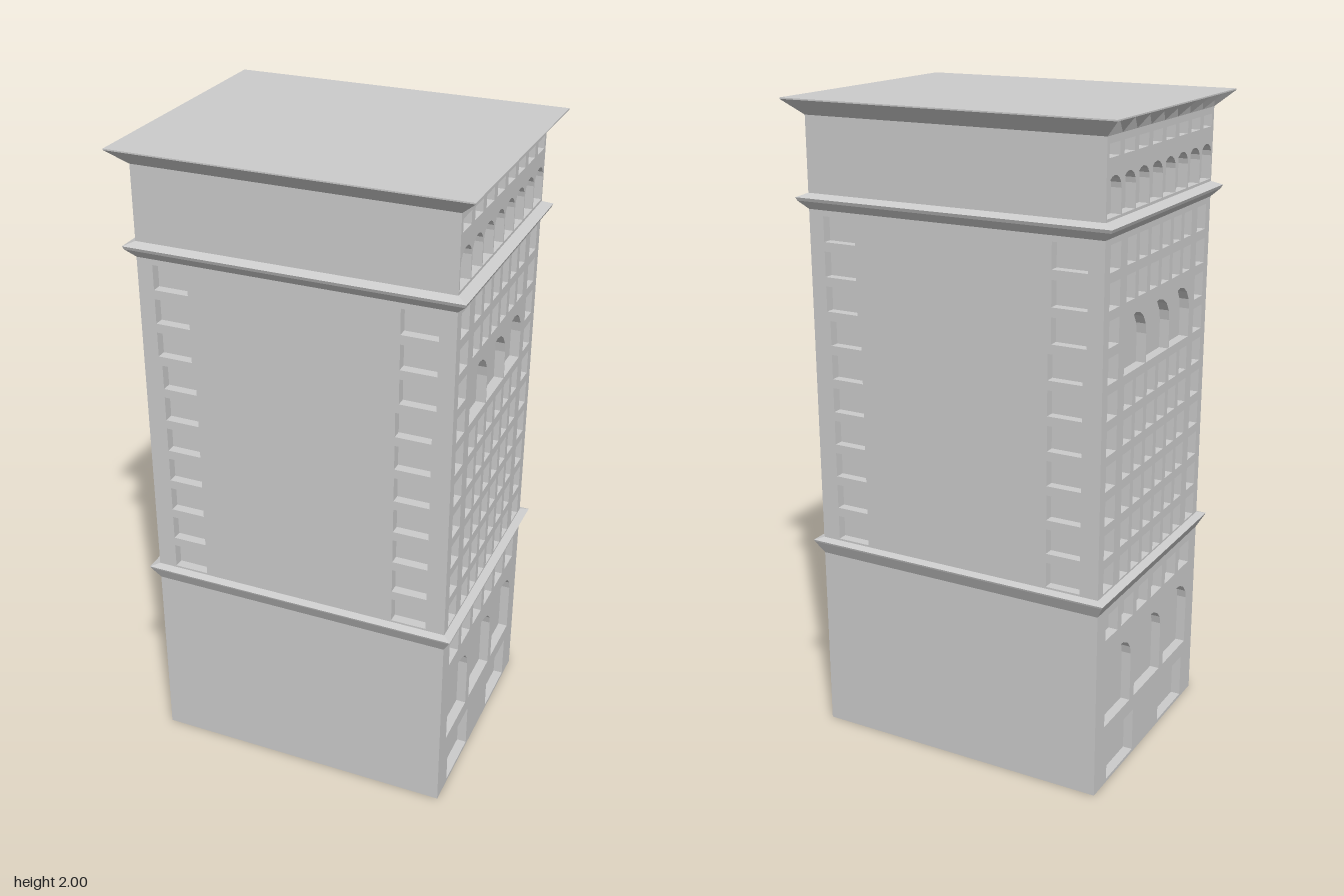
import * as THREE from 'three';

const W = 0.475, D = 0.375, WALL_TOP = 1.955, DEPTH = 0.03;
const material = new THREE.MeshStandardMaterial({ color: 0xcccccc, flatShading: true });
const soffitMaterial = new THREE.MeshStandardMaterial({ color: 0xcccccc, flatShading: true, side: THREE.DoubleSide });

function add(parent, name, geometry, mat = material) {
  const mesh = new THREE.Mesh(geometry, mat);
  mesh.name = name;
  parent.add(mesh);
  return mesh;
}

// Rectangular opening, centred on x
function rectHole(x, w, y0, y1) {
  return new THREE.Path([[-1, y0], [1, y0], [1, y1], [-1, y1]]
    .map(([s, y]) => new THREE.Vector2(x + s * w / 2, y)));
}

// Arched opening with a faceted head
function archHole(x, w, y0, spring, top) {
  const pts = [new THREE.Vector2(x - w / 2, y0), new THREE.Vector2(x + w / 2, y0)];
  for (let i = 0; i <= 8; i++) {
    const a = Math.PI * i / 8;
    pts.push(new THREE.Vector2(x + Math.cos(a) * w / 2, spring + Math.sin(a) * (top - spring)));
  }
  return new THREE.Path(pts);
}

// Wall sheet pierced by openings
function wallGeometry(halfWidth, holes) {
  const shape = new THREE.Shape([[-1, 0], [1, 0], [1, WALL_TOP], [-1, WALL_TOP]]
    .map(([s, y]) => new THREE.Vector2(s * halfWidth, y)));
  shape.holes.push(...holes);
  return new THREE.ExtrudeGeometry(shape, { depth: DEPTH, bevelEnabled: false });
}

const rowY = i => 0.687 + i * 0.1042;

function decoratedHoles() {
  const holes = [];
  // Ground floor openings and large arches
  for (const s of [-1, 1]) holes.push(rectHole(s * 0.195, 0.19, 0.01, 0.152));
  for (const i of [-1, 0, 1]) holes.push(archHole(i * 0.221, i ? 0.183 : 0.198, 0.2, 0.36, 0.43));
  for (let i = 0; i < 6; i++) holes.push(rectHole((i - 2.5) * 0.11, 0.084, 0.488, 0.566));
  // Window grid of the shaft, with an arcade in place of two rows
  for (let r = 0; r < 10; r++) {
    const y0 = rowY(r) - 0.038, y1 = rowY(r) + 0.038;
    for (const s of [-1, 1]) holes.push(rectHole(s * 0.308, 0.068, y0, y1));
    if (r === 6 || r === 7) continue;
    for (let i = 0; i < 6; i++) holes.push(rectHole((i - 2.5) * 0.0805, 0.058, y0, y1));
  }
  for (const i of [-1, 0, 1]) holes.push(archHole(i * 0.161, i ? 0.15 : 0.165, 1.273, 1.36, 1.44));
  // Attic arcade and small windows
  for (let i = 0; i < 8; i++) {
    holes.push(archHole((i - 3.5) * 0.0927, 0.087, 1.735, 1.805, 1.845));
    holes.push(rectHole((i - 3.5) * 0.0935, 0.066, 1.893, 1.93));
  }
  return holes;
}

function plainHoles() {
  const holes = [];
  for (let r = 0; r < 10; r++)
    for (const s of [-1, 1])
      holes.push(rectHole(s * (r < 7 ? 0.362 : 0.372), 0.108, rowY(r) - 0.038, rowY(r) + 0.038));
  return holes;
}

// Rectangular moulding lofted through [x overhang, z overhang, y] steps
function mouldingGeometry(steps) {
  const pos = [], index = [];
  for (const [ox, oz, y] of steps)
    for (const [sx, sz] of [[1, 1], [1, -1], [-1, -1], [-1, 1]])
      pos.push(sx * (W + ox), y, sz * (D + oz));
  for (let r = 0; r < steps.length - 1; r++)
    for (let c = 0; c < 4; c++) {
      const a = r * 4 + c, b = r * 4 + (c + 1) % 4;
      index.push(a, b, b + 4, a, b + 4, a + 4);
    }
  const g = new THREE.BufferGeometry();
  g.setAttribute('position', new THREE.Float32BufferAttribute(pos, 3));
  g.setIndex(index);
  const flat = g.toNonIndexed();
  flat.computeVertexNormals();
  return flat;
}

// Sloping cornice underside: plain on the front and back, hollowed bays on the sides
function soffitGeometry() {
  const pos = [], X = 0.525, Z = 0.423, Y0 = 1.95, Y1 = 1.996;
  const tri = (...p) => pos.push(...p.flat());
  for (const s of [-1, 1]) {
    const a = [-W, Y0, s * D], b = [W, Y0, s * D], c = [X, Y1, s * Z], d = [-X, Y1, s * Z];
    if (s > 0) { tri(a, b, c); tri(a, c, d); } else { tri(a, c, b); tri(a, d, c); }
    for (let i = 0; i < 8; i++) {
      const t0 = i / 4 - 1, t1 = (i + 1) / 4 - 1;
      const corners = [[s * W, Y0, t0 * D], [s * X, Y1, t0 * Z], [s * X, Y1, t1 * Z], [s * W, Y0, t1 * D]];
      const apex = [s * 0.49, 1.995, (t0 + t1) / 2 * 0.385];
      for (let k = 0; k < 4; k++) {
        const p = corners[k], q = corners[(k + 1) % 4];
        if (s > 0) tri(p, q, apex); else tri(q, p, apex);
      }
    }
  }
  const g = new THREE.BufferGeometry();
  g.setAttribute('position', new THREE.Float32BufferAttribute(pos, 3));
  g.computeVertexNormals();
  return g;
}

export function createModel() {
  const tower = new THREE.Group();
  tower.name = 'towerBuilding';

  // Inner core forms the back of every recess
  const core = add(tower, 'core', new THREE.BoxGeometry(2 * (W - DEPTH), 1.95, 2 * (D - DEPTH)));
  core.position.y = 0.975;

  // Four walls in mirrored pairs
  const sideGeometry = wallGeometry(D, decoratedHoles());
  const plainGeometry = wallGeometry(W - DEPTH, plainHoles());
  for (const s of [1, -1]) {
    const side = add(tower, s > 0 ? 'leftWall' : 'rightWall', sideGeometry);
    side.rotation.y = s * Math.PI / 2;
    side.position.x = s * (W - DEPTH);
    const plain = add(tower, s > 0 ? 'frontWall' : 'backWall', plainGeometry);
    plain.rotation.y = s > 0 ? 0 : Math.PI;
    plain.position.z = s * (D - DEPTH);
  }

  // String courses
  add(tower, 'lowerStringCourse', mouldingGeometry(
    [[0, 0, 0.59], [0.022, 0.02, 0.63], [0.025, 0.022, 0.636], [0, 0, 0.643]]));
  add(tower, 'upperStringCourse', mouldingGeometry(
    [[0, 0, 1.68], [0.026, 0.02, 1.705], [0.03, 0.024, 1.715], [0, 0, 1.727]]));

  // Crowning cornice and flat roof
  add(tower, 'corniceSoffit', soffitGeometry(), soffitMaterial);
  const roof = add(tower, 'roofSlab', new THREE.BoxGeometry(1.05, 0.004, 0.846));
  roof.position.y = 1.998;

  return tower;
}
